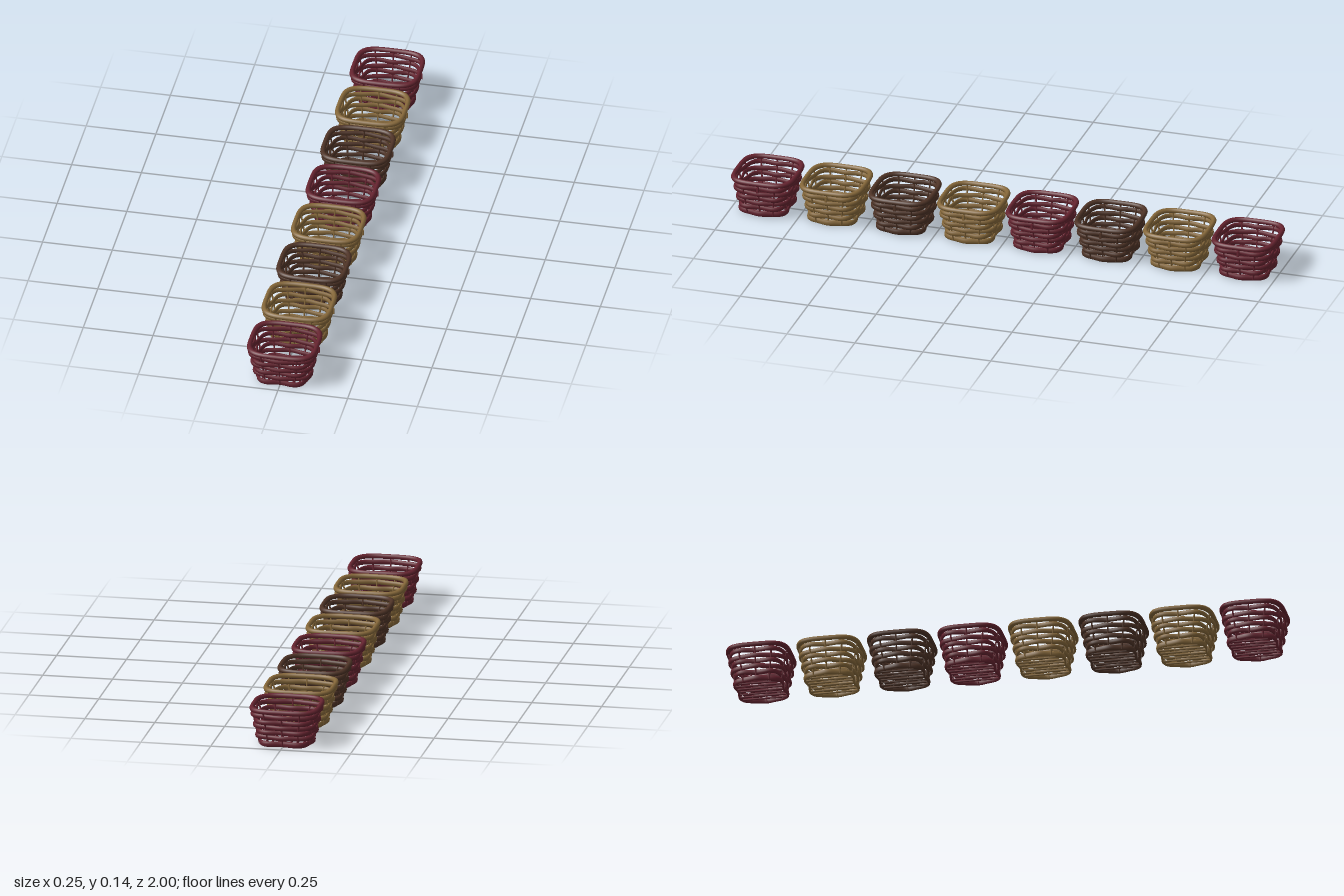
import * as THREE from 'three';

const STAKES = 12;
const SEGMENTS = 96;

// Point on the rounded-square basket wall at height y, pushed outward by off
function wallPoint(angle, y, off = 0) {
  const c = Math.cos(angle), s = Math.sin(angle), n = 3.8;
  const r = Math.pow(Math.abs(c) ** n + Math.abs(s) ** n, -1 / n);
  const half = 0.091 + 0.195 * y + off;
  return new THREE.Vector3(half * r * c, y, (half - 0.0095) * r * s);
}

// Closed strand with an oval section; wave makes it pass in and out of the stakes
function strandGeometry(y, halfHeight, halfDepth, wave, sides = 8) {
  const positions = [], index = [];
  for (let i = 0; i < SEGMENTS; i++) {
    const a = (i / SEGMENTS) * Math.PI * 2;
    const weave = wave * Math.cos((a * STAKES) / 2);
    for (let j = 0; j < sides; j++) {
      const p = (j / sides) * Math.PI * 2;
      const v = wallPoint(a, y, weave + halfDepth * Math.cos(p));
      positions.push(v.x, y + halfHeight * Math.sin(p), v.z);
      const i2 = (i + 1) % SEGMENTS, j2 = (j + 1) % sides;
      const q = i * sides + j, up = i * sides + j2;
      const next = i2 * sides + j, nextUp = i2 * sides + j2;
      index.push(q, up, next, up, nextUp, next);
    }
  }
  const g = new THREE.BufferGeometry();
  g.setAttribute('position', new THREE.Float32BufferAttribute(positions, 3));
  g.setIndex(index);
  g.computeVertexNormals();
  return g;
}

export function createModel() {
  const material = (name, color) => {
    const m = new THREE.MeshStandardMaterial({ color });
    m.name = name;
    return m;
  };
  const red = material('burgundy wicker', 0x662430);
  const tan = material('tan wicker', 0x86683a);
  const brown = material('brown wicker', 0x4f3427);

  // Shared parts of one basket
  const parts = [];
  const rows = [0.0125, 0.036, 0.056, 0.075, 0.094, 0.115];
  rows.forEach((y, i) => {
    const wave = i % 2 ? -0.004 : 0.004;
    // the middle upper rows keep the same in-and-out alternation
    const outward = i === 4 || i === 2 || i === 0 ? Math.abs(wave) : wave;
    parts.push(['wovenStrand', strandGeometry(y, i === 0 ? 0.0105 : 0.009, 0.0045, outward)]);
  });
  parts.push(['rim', strandGeometry(0.1345, 0.009, 0.0085, 0)]);

  // Upright stakes, leaning outward with the wall
  for (let k = 0; k < STAKES; k++) {
    const a = (k / STAKES) * Math.PI * 2;
    const path = new THREE.LineCurve3(wallPoint(a, 0.006), wallPoint(a, 0.134));
    parts.push(['stake', new THREE.TubeGeometry(path, 1, 0.003, 6)]);
  }

  // Base slats running front to back
  for (let k = -3; k <= 3; k++) {
    const slat = new THREE.CylinderGeometry(0.0035, 0.0035, 0.166, 8);
    slat.rotateX(Math.PI / 2).translate(k * 0.022, 0.008, 0);
    parts.push(['baseSlat', slat]);
  }

  // Loose strand end below the rim
  parts.push(['strandEnd', new THREE.BoxGeometry(0.005, 0.02, 0.008).translate(0.1235, 0.114, 0)]);

  // Row of baskets, listed from front to back
  const model = new THREE.Group();
  model.name = 'basketRow';
  [red, tan, brown, tan, red, brown, tan, red].forEach((mat, i) => {
    const basket = new THREE.Group();
    basket.name = 'basket';
    for (const [name, geometry] of parts) {
      const mesh = new THREE.Mesh(geometry, mat);
      mesh.name = name;
      basket.add(mesh);
    }
    basket.position.z = (3.5 - i) * 0.2525;
    model.add(basket);
  });
  return model;
}
